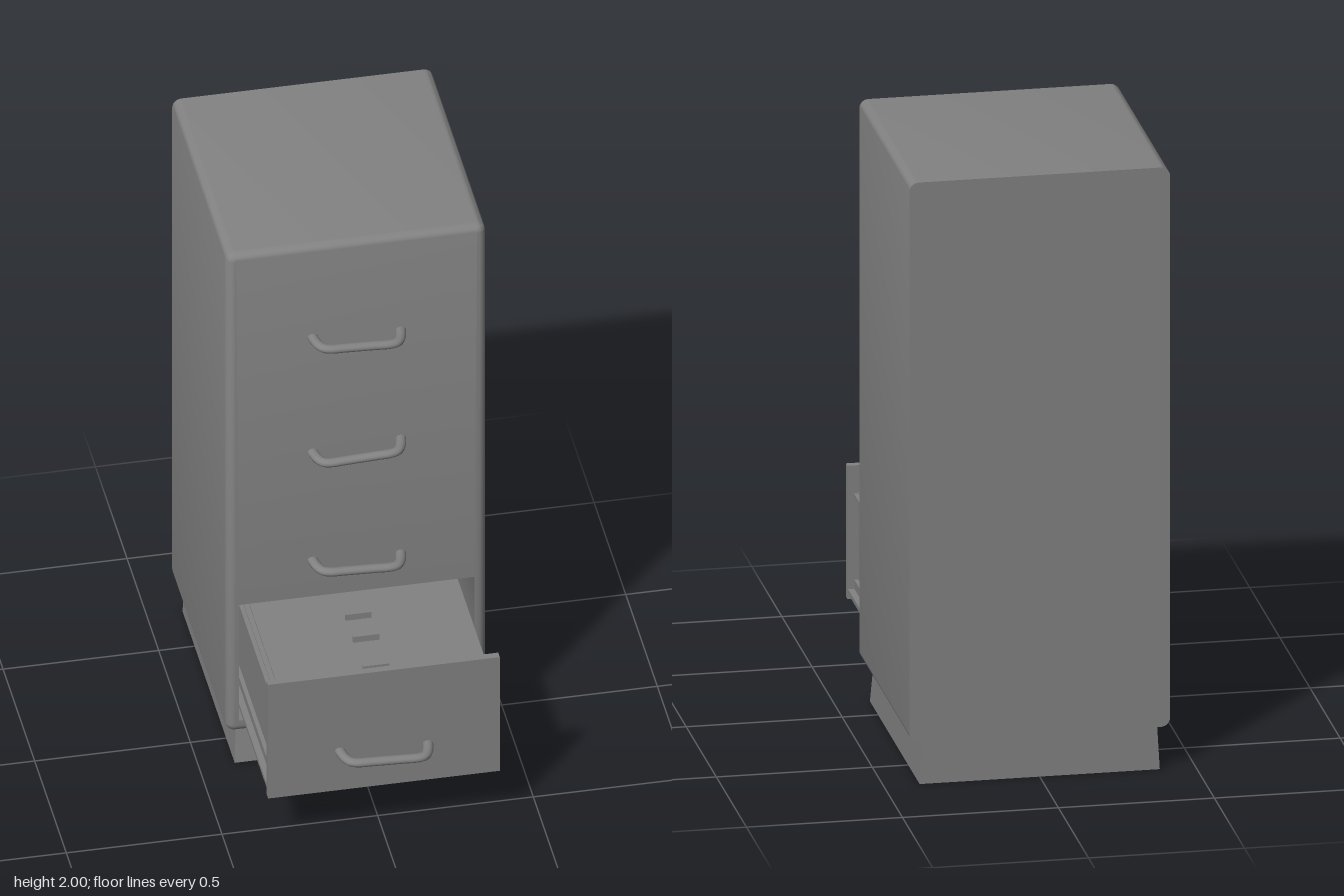
import * as THREE from 'three';
import { toCreasedNormals } from 'three/addons/utils/BufferGeometryUtils.js';

const material = new THREE.MeshStandardMaterial({ color: 0x828282 });
const FRONT = 0.168, BACK = -0.69;

function add(parent, name, geometry) {
  const mesh = new THREE.Mesh(geometry, material);
  mesh.name = name;
  parent.add(mesh);
  return mesh;
}

// Box given by half width, y range and z range
function slab(parent, name, halfX, y0, y1, z0, z1) {
  const mesh = add(parent, name, new THREE.BoxGeometry(halfX * 2, y1 - y0, z1 - z0));
  mesh.position.set(0, (y0 + y1) / 2, (z0 + z1) / 2);
}

// Rounded rectangle as a counter-clockwise ring of points at depth z
const CORNER = 6;
function ring(halfX, y0, y1, r, z) {
  const points = [];
  const centres = [[halfX - r, y1 - r], [r - halfX, y1 - r], [r - halfX, y0 + r], [halfX - r, y0 + r]];
  centres.forEach(([cx, cy], quarter) => {
    for (let i = 0; i <= CORNER; i++) {
      const a = (quarter + i / CORNER) * Math.PI / 2;
      points.push([cx + r * Math.cos(a), cy + r * Math.sin(a), z]);
    }
  });
  return points;
}

function loft(rings) {
  const n = rings[0].length, index = [];
  for (let i = 0; i < rings.length - 1; i++) {
    for (let j = 0; j < n; j++) {
      const k = (j + 1) % n;
      const a = i * n + j, b = i * n + k, c = a + n, d = b + n;
      index.push(a, c, b, b, c, d);
    }
  }
  const geometry = new THREE.BufferGeometry();
  geometry.setAttribute('position', new THREE.Float32BufferAttribute(rings.flat(2), 3));
  geometry.setIndex(index);
  return toCreasedNormals(geometry, 0.6);
}

// Cabinet shell: drawer cavity, front face, rounded edge, sides, flat back
function shellGeometry() {
  const R = 0.03, steps = 6;
  const rings = [
    ring(0, 0.41, 0.41, 0, BACK + 0.03),
    ring(0.378, 0.187, 0.638, 0.001, BACK + 0.03),
    ring(0.378, 0.187, 0.638, 0.001, FRONT),
  ];
  for (let i = 0; i <= steps; i++) {
    const a = i / steps * Math.PI / 2;
    const inset = R * (1 - Math.sin(a));
    rings.push(ring(0.418 - inset, 0.14 + inset, 2 - inset, Math.max(R - inset, 0.001), FRONT - R * (1 - Math.cos(a))));
  }
  rings.push(ring(0.418, 0.14, 2, R, BACK));
  rings.push(ring(0, 1, 1, 0, BACK));
  return loft(rings);
}

// Plinth leaning inwards towards its top at the front and sides
function plinthGeometry() {
  const geometry = new THREE.BoxGeometry(0.77, 0.145, 0.825);
  geometry.translate(0, 0.0725, BACK + 0.4125);
  const p = geometry.attributes.position;
  for (let i = 0; i < p.count; i++) {
    if (p.getY(i) < 0.1) continue;
    p.setX(i, p.getX(i) * 0.978);
    if (p.getZ(i) > 0) p.setZ(i, 0.112);
  }
  geometry.computeVertexNormals();
  return geometry;
}

// Bent bar handle with splayed legs, slightly flattened in height
function handleGeometry() {
  const half = [[0.142, -0.005], [0.139, 0.015], [0.13, 0.045], [0.117, 0.063], [0.095, 0.07], [0.05, 0.07]];
  const left = half.map(([x, z]) => new THREE.Vector3(-x, 0, z));
  const right = half.map(([x, z]) => new THREE.Vector3(x, 0, z)).reverse();
  const geometry = new THREE.TubeGeometry(new THREE.CatmullRomCurve3([...left, ...right]), 48, 0.017, 12);
  return geometry.scale(1, 0.82, 1);
}

export function createModel() {
  const model = new THREE.Group();
  model.name = 'filingCabinet';

  add(model, 'cabinetShell', shellGeometry());
  add(model, 'plinth', plinthGeometry());

  // Pulled-out bottom drawer
  const drawer = new THREE.Group();
  drawer.name = 'openDrawer';
  model.add(drawer);
  const end = -0.2, panel = 0.575;
  slab(drawer, 'drawerFront', 0.372, 0.192, 0.635, panel, 0.6);
  slab(drawer, 'drawerTray', 0.37, 0.21, 0.225, end, panel);
  slab(drawer, 'drawerLedge', 0.35, 0.225, 0.255, end, panel);
  slab(drawer, 'drawerBox', 0.337, 0.255, 0.545, end, panel);
  slab(drawer, 'drawerRim', 0.351, 0.53, 0.541, end, panel);
  slab(drawer, 'drawerContents', 0.321, 0.5, 0.55, end + 0.015, 0.56);
  for (const z of [0.195, 0.315, 0.475]) {
    slab(drawer, 'dividerTab', 0.042, 0.54, 0.572, z - 0.004, z + 0.004);
  }

  // Slightly tilted handles, top to bottom; the last sits on the open drawer
  const handle = handleGeometry();
  const tilts = [-0.045, 0.045, -0.045, -0.045];
  tilts.forEach((tilt, i) => {
    const mesh = add(i === 3 ? drawer : model, 'handle', handle);
    mesh.position.set(0, 1.641 - i * 0.4345, i === 3 ? 0.6 : FRONT);
    mesh.rotation.z = tilt;
  });
  return model;
}
